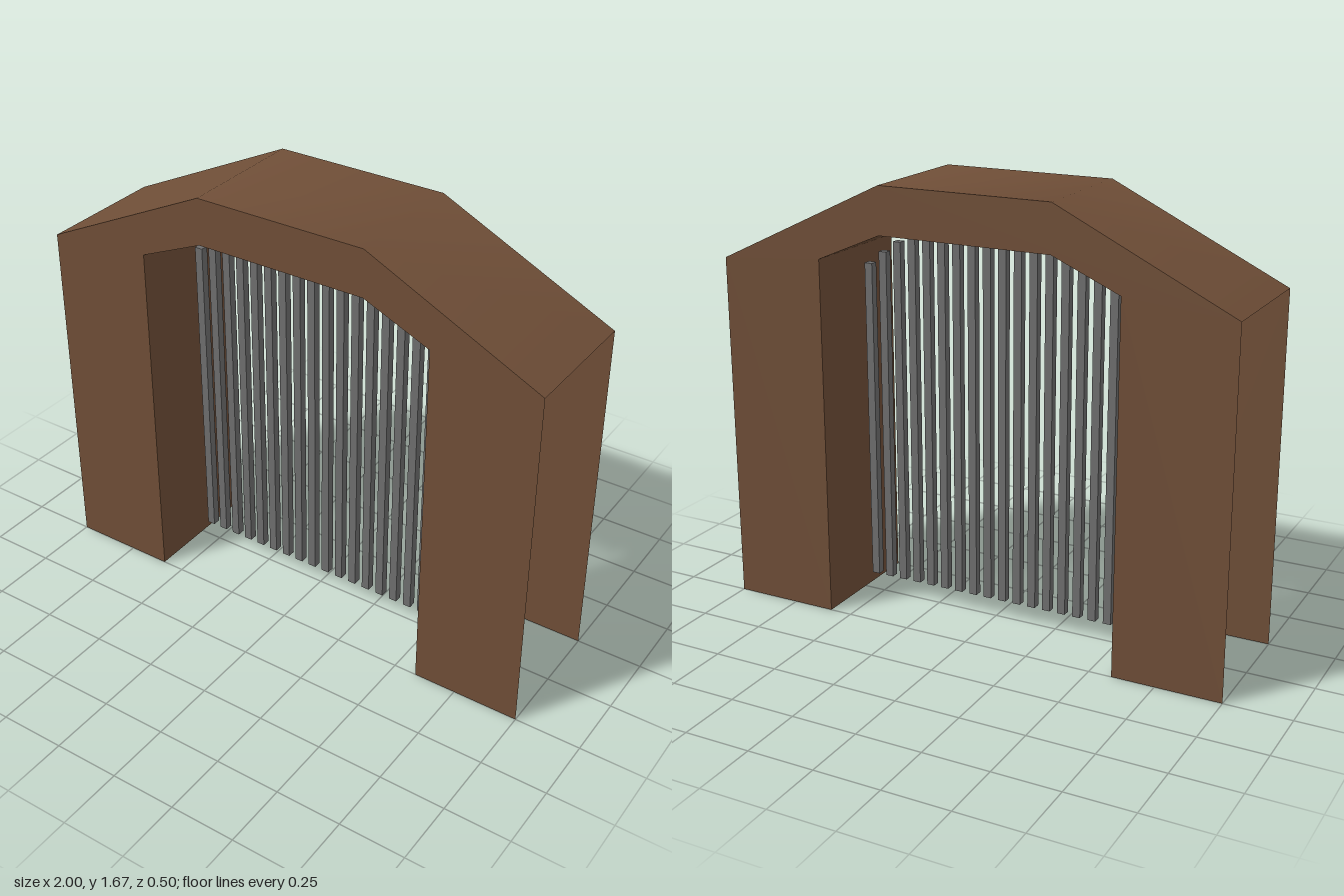
import * as THREE from 'three';

const DEPTH = 0.5;
const BAR_COUNT = 18;
// Profiles run from the left (+x) to the right (-x)
const OUTER = [[1, 1.345], [0.333, 1.667], [-0.333, 1.667], [-1, 1.345]];
const INNER = [[-0.587, 0], [-0.587, 1.38], [-0.333, 1.49], [0.333, 1.49], [0.587, 1.38], [0.587, 0]];

// Strip swept through the depth of the arch along a 2D profile
function strip(profile, flat) {
  const positions = [];
  const index = [];
  profile.forEach(([x, y], i) => {
    positions.push(x, y, DEPTH / 2, x, y, -DEPTH / 2);
    if (i > 0) {
      const a = 2 * i - 2;
      index.push(a, a + 1, a + 2, a + 1, a + 3, a + 2);
    }
  });
  let geometry = new THREE.BufferGeometry();
  geometry.setAttribute('position', new THREE.Float32BufferAttribute(positions, 3));
  geometry.setIndex(index);
  if (flat) geometry = geometry.toNonIndexed();
  geometry.computeVertexNormals();
  return geometry;
}

export function createModel() {
  const group = new THREE.Group();
  const brown = new THREE.MeshStandardMaterial({ name: 'brown', color: 0x6f4e37, side: THREE.DoubleSide });
  const grey = new THREE.MeshStandardMaterial({ name: 'grey', color: 0x6e6e6e });

  const add = (parent, name, geometry, material) => {
    const mesh = new THREE.Mesh(geometry, material);
    mesh.name = name;
    parent.add(mesh);
    return mesh;
  };

  // Front and back faces of the arch
  const outline = [[1, 0], ...OUTER, [-1, 0], ...INNER].map(([x, y]) => new THREE.Vector2(x, y));
  const face = new THREE.ShapeGeometry(new THREE.Shape(outline));
  add(group, 'archFront', face, brown).position.z = DEPTH / 2;
  const back = add(group, 'archBack', face, brown);
  back.position.z = -DEPTH / 2;
  back.rotation.y = Math.PI;

  // Roof and passage lining; the outer sides and the bottom stay open
  add(group, 'roof', strip(OUTER, false), brown);
  add(group, 'passageLining', strip(INNER, true), brown);

  // Gate of upright bars whose tops follow a curve
  const gate = new THREE.Group();
  gate.name = 'gate';
  group.add(gate);
  const tops = [1.505, 1.502, 1.495, 1.481, 1.465, 1.444, 1.417, 1.374, 1.325];
  const bottom = 0.075;
  for (let i = 0; i < BAR_COUNT / 2; i++) {
    const height = tops[i] - bottom;
    const geometry = new THREE.BoxGeometry(0.031, height, 0.031);
    for (const side of [-1, 1]) {
      const bar = add(gate, 'gateBar', geometry, grey);
      bar.position.set(side * (i + 0.5) * 0.062, bottom + height / 2, 0);
    }
  }
  return group;
}
